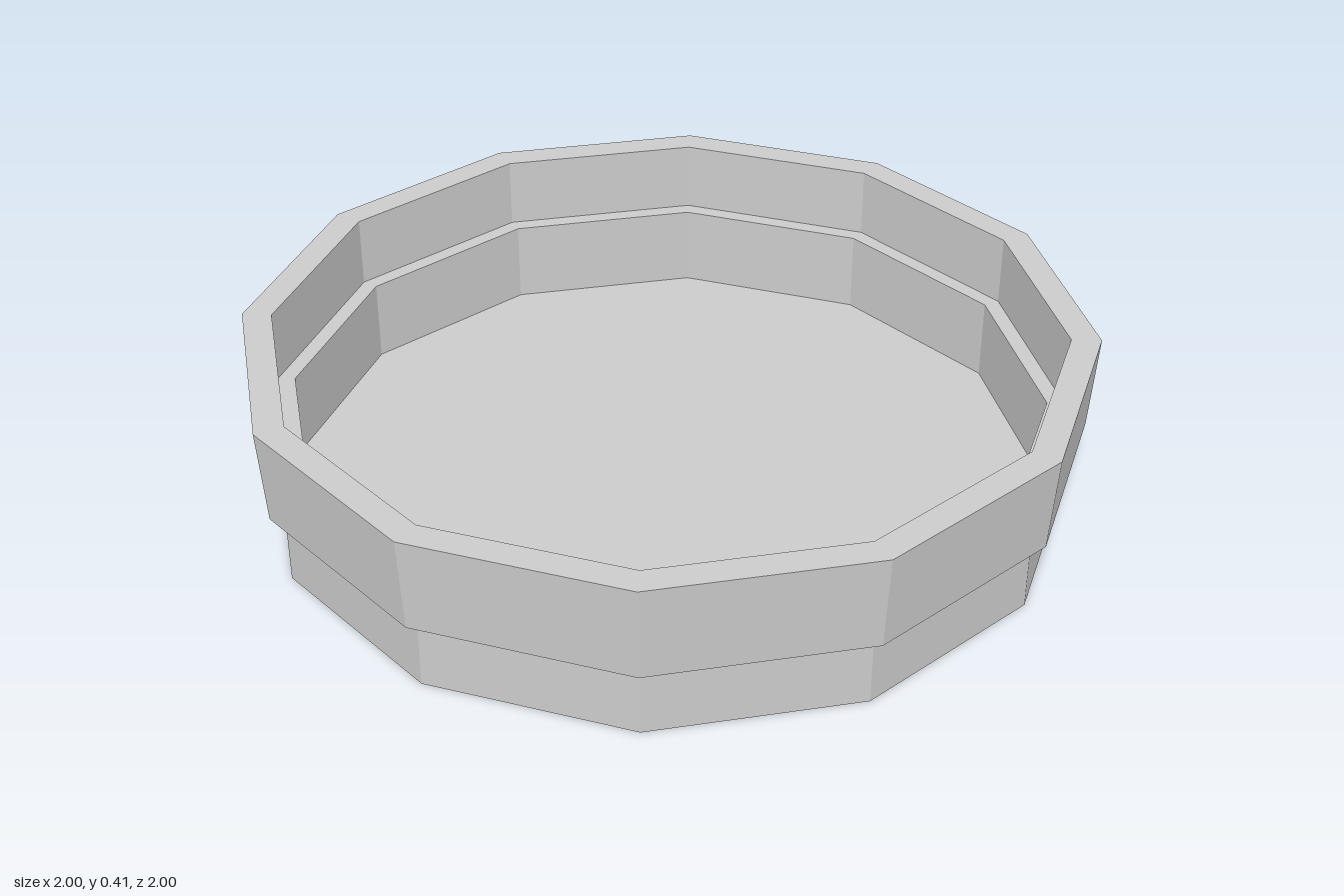
import * as THREE from 'three';

const SIDES = 12;

export function createModel() {
  const group = new THREE.Group();
  group.name = 'shallowDish';

  // Closed cross-section: underside, outer wall, rim, inner wall, floor
  const profile = [
    [0, 0],
    [0.95, 0],       // base edge
    [0.95, 0.175],
    [0.985, 0.175],  // overhang of the upper band
    [1, 0.405],      // flared outer rim
    [0.93, 0.405],   // inner rim
    [0.93, 0.23],    // inner ledge
    [0.89, 0.23],
    [0.89, 0.027],   // floor edge
    [0, 0.027],
  ].map(([r, y]) => new THREE.Vector2(r, y));

  const dish = new THREE.Mesh(
    new THREE.LatheGeometry(profile, SIDES),
    new THREE.MeshStandardMaterial({ color: 0xcccccc, flatShading: true })
  );
  dish.name = 'dish';
  group.add(dish);
  return group;
}
